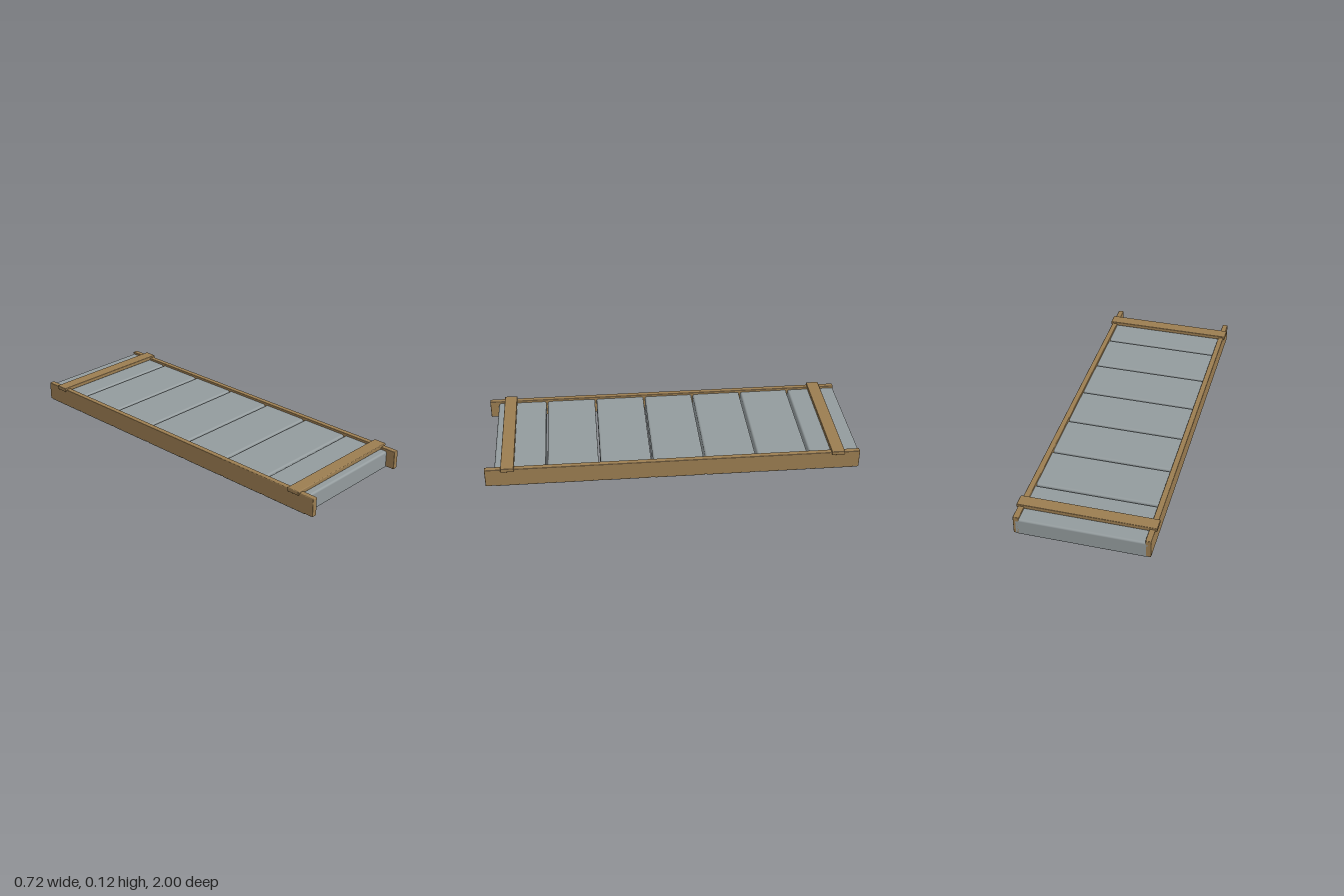
import * as THREE from 'three';
import { RoundedBoxGeometry } from 'three/addons/geometries/RoundedBoxGeometry.js';

const wood = new THREE.MeshStandardMaterial({ color: 0x9b7d51 });
const stone = new THREE.MeshStandardMaterial({ color: 0x939b9d });

// Softly bevelled block spanning the given min and max corners
function block(name, min, max, radius, material) {
  const size = max.map((v, i) => v - min[i]);
  const mesh = new THREE.Mesh(new RoundedBoxGeometry(...size, 2, radius), material);
  mesh.position.set(...max.map((v, i) => (v + min[i]) / 2));
  mesh.name = name;
  return mesh;
}

export function createModel() {
  const model = new THREE.Group();
  model.name = 'slabWalkway';

  // Seven slabs laid back to front with narrow gaps, reaching under the rails
  const slabs = new THREE.Group();
  slabs.name = 'slabs';
  for (let i = 0; i < 7; i++) {
    const z = -1 + i * 0.28;
    slabs.add(block(`slab${i + 1}`, [-0.348, 0, z], [0.348, 0.096, z + 0.27], 0.011, stone));
  }
  model.add(slabs);

  // Long side rails
  model.add(block('leftRail', [0.32, 0.008, -1], [0.35, 0.109, 1], 0.004, wood));
  model.add(block('rightRail', [-0.35, 0.008, -1], [-0.32, 0.109, 1], 0.004, wood));

  // Crossbars lying over both rails
  for (const [name, z] of [['frontCrossbar', 0.88], ['backCrossbar', -0.88]]) {
    model.add(block(name, [-0.359, 0.097, z - 0.035], [0.359, 0.119, z + 0.035], 0.004, wood));
  }
  return model;
}
